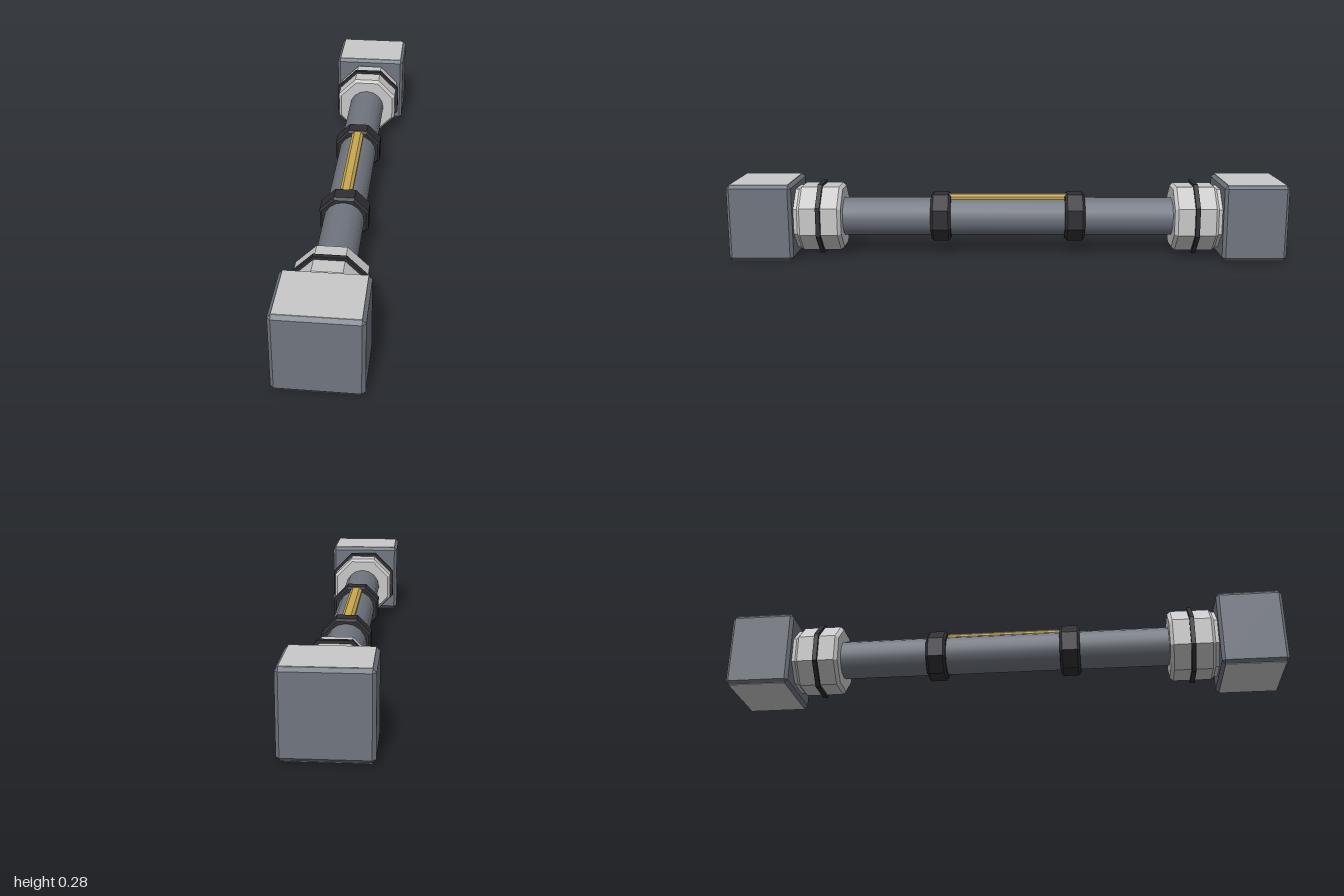
import * as THREE from 'three';
import { ConvexGeometry } from 'three/addons/geometries/ConvexGeometry.js';

const AXIS_Y = 0.1385; // height of the bar's centre line

const material = (name, color) => {
  const m = new THREE.MeshStandardMaterial({ color });
  m.name = name;
  return m;
};

// Faceted ring or plug along z from [radius, z] pairs; flats face up and sideways
function facetedTurn(profile, sides = 8) {
  const k = 1 / Math.cos(Math.PI / sides); // apothem to corner radius
  const points = profile.map(([r, z]) => new THREE.Vector2(r * k, z));
  const geo = new THREE.LatheGeometry(points, sides, Math.PI / sides).rotateX(Math.PI / 2).toNonIndexed();
  geo.computeVertexNormals();
  return geo;
}

// Box with chamfered edges
function chamferBox(w, h, d, c) {
  const points = [];
  for (const x of [-1, 1]) for (const y of [-1, 1]) for (const z of [-1, 1]) {
    for (let axis = 0; axis < 3; axis++) {
      const inset = [c, c, c];
      inset[axis] = 0;
      points.push(new THREE.Vector3(
        x * (w / 2 - inset[0]), y * (h / 2 - inset[1]), z * (d / 2 - inset[2])));
    }
  }
  return new ConvexGeometry(points);
}

export function createModel() {
  const slate = material('slate metal', 0x70757f);
  const light = material('light metal', 0xc8c8c8);
  const black = material('black rubber', 0x2f2f34);
  const gold = material('gold', 0xc8a951);

  const model = new THREE.Group();
  model.name = 'connectingBar';
  const add = (parent, name, geo, mat, y = 0, z = 0) => {
    const mesh = new THREE.Mesh(geo, mat);
    mesh.name = name;
    mesh.position.set(0, y, z);
    parent.add(mesh);
    return mesh;
  };

  // Central round bar
  add(model, 'bar', new THREE.CylinderGeometry(0.07, 0.07, 1.56, 16).rotateX(Math.PI / 2), slate, AXIS_Y);

  // Ridged gold strip along the top, between the clamps
  const section = new THREE.Shape([
    [-0.022, 0.19], [0.022, 0.19], [0.022, 0.213], [0.012, 0.222], [-0.012, 0.222], [-0.022, 0.213],
  ].map(([x, y]) => new THREE.Vector2(x, y)));
  add(model, 'goldStrip', new THREE.ExtrudeGeometry(section, { depth: 0.43, bevelEnabled: false }), gold, 0, -0.215);

  // Two identical ends: block, collar, seal and clamp
  const block = chamferBox(0.28, 0.273, 0.23, 0.011);
  const plate = new THREE.BoxGeometry(0.258, 0.004, 0.208);
  const collar = facetedTurn([
    [0, 0.6], [0.107, 0.6], [0.117, 0.612], [0.117, 0.748], [0.108, 0.758], [0.108, 0.775], [0, 0.775],
  ]);
  const seal = facetedTurn([[0.1, 0.672], [0.127, 0.672], [0.127, 0.688], [0.1, 0.688]]);
  const clamp = facetedTurn([
    [0.06, 0.208], [0.077, 0.208], [0.085, 0.217], [0.085, 0.272], [0.077, 0.281], [0.06, 0.281],
  ]);

  for (const [name, turn] of [['frontEnd', 0], ['backEnd', Math.PI]]) {
    const end = new THREE.Group();
    end.name = name;
    end.rotation.y = turn;
    add(end, 'endBlock', block, slate, AXIS_Y, 0.885);
    add(end, 'topPlate', plate, light, 0.275, 0.885);
    add(end, 'bottomPlate', plate, light, 0.002, 0.885);
    add(end, 'collar', collar, light, AXIS_Y);
    add(end, 'sealRing', seal, black, AXIS_Y);
    add(end, 'clampRing', clamp, black, AXIS_Y);
    model.add(end);
  }
  return model;
}
